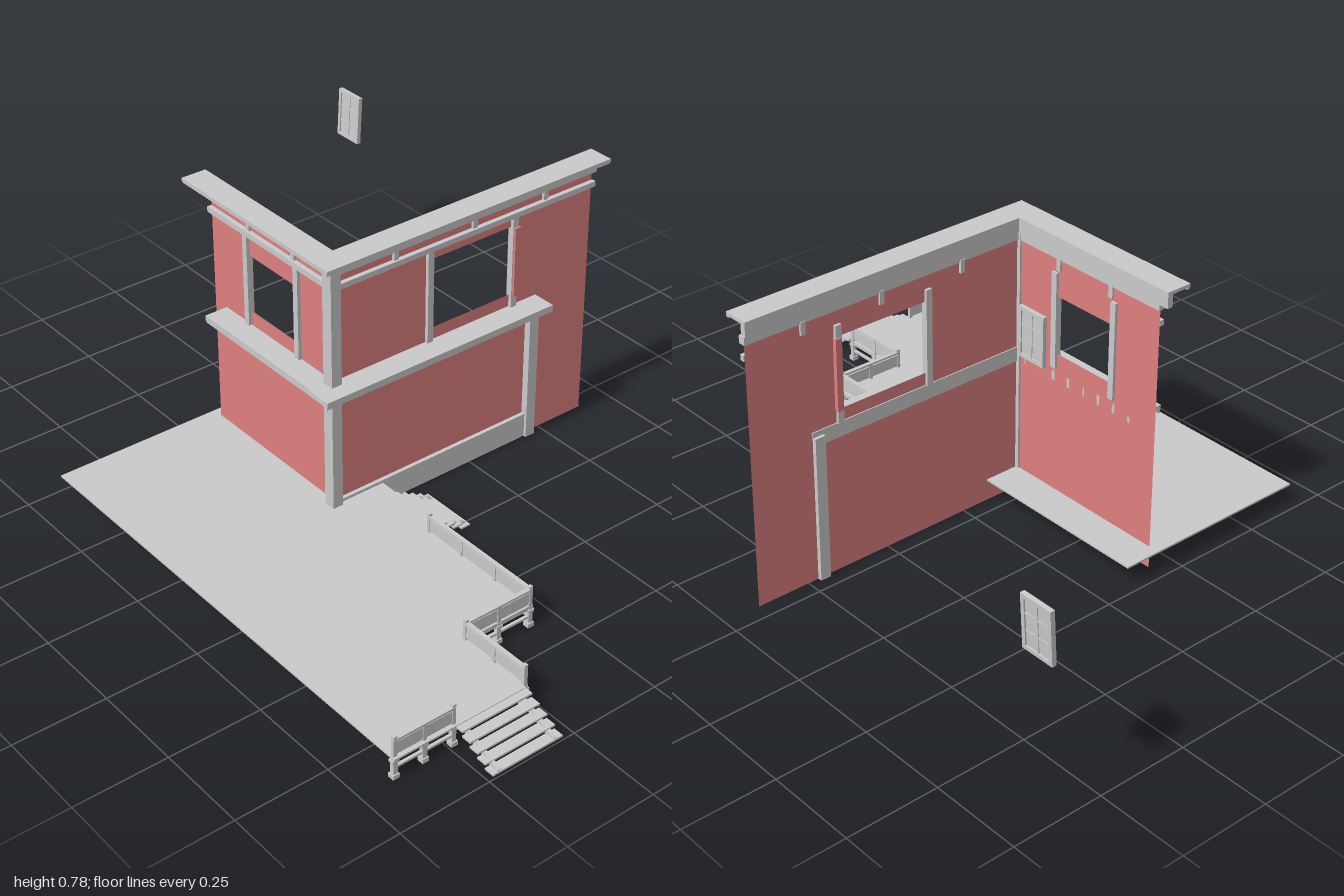
import * as THREE from 'three';

const grey = new THREE.MeshStandardMaterial({ color: 0xcccccc, side: THREE.DoubleSide });
const red = new THREE.MeshStandardMaterial({ color: 0xe08080, side: THREE.DoubleSide });

// Box given by its limits on each axis
function box(parent, name, x0, x1, y0, y1, z0, z1, mat = grey) {
  const m = new THREE.Mesh(new THREE.BoxGeometry(x1 - x0, y1 - y0, z1 - z0), mat);
  m.position.set((x0 + x1) / 2, (y0 + y1) / 2, (z0 + z1) / 2);
  m.name = name;
  parent.add(m);
  return m;
}

function group(parent, name) {
  const g = new THREE.Group();
  g.name = name;
  parent.add(g);
  return g;
}

// Flat wall in local x/y with a rectangular window opening
function wallPanel(parent, x0, x1, top, [a, b, c, d]) {
  const s = new THREE.Shape([[x0, 0], [x1, 0], [x1, top], [x0, top]].map(p => new THREE.Vector2(...p)));
  s.holes.push(new THREE.Path([[a, c], [a, d], [b, d], [b, c]].map(p => new THREE.Vector2(...p))));
  const m = new THREE.Mesh(new THREE.ShapeGeometry(s), red);
  m.name = 'wallPanel';
  parent.add(m);
}

// Overhanging board carried by a row of wedge brackets; local +z is outward
function cornice(parent, name, x0, x1, b0, b1, yTop, thick, drop, back) {
  const g = group(parent, name);
  box(g, 'topBoard', x0, x1, yTop - thick, yTop, back, 0.068);
  box(g, 'edgeLip', x0, x1, yTop - thick * 1.5, yTop - thick * 0.4, 0.058, 0.066);
  box(g, 'backBoard', b0, b1, yTop - thick - drop, yTop - thick, back, 0.012);
  const wedge = new THREE.Shape([[0, 0], [0.055, 0], [0.055, -0.006], [0.02, -drop], [0, -drop]]
    .map(p => new THREE.Vector2(...p)));
  const geo = new THREE.ExtrudeGeometry(wedge, { depth: 0.01, bevelEnabled: false });
  geo.rotateY(-Math.PI / 2);
  for (let x = b0 + 0.045; x <= b1; x += 0.0545) {
    const m = new THREE.Mesh(geo, grey);
    m.position.set(x, yTop - thick, 0);
    m.name = 'bracket';
    g.add(m);
  }
}

// Window posts, upper rails and the short studs between them
function wallTrim(g, x0, x1, posts, studs) {
  box(g, 'upperBeam', x0, x1, 0.724, 0.745, -0.004, 0.016);
  box(g, 'lowerBeam', x0, x1, 0.681, 0.696, 0.001, 0.014);
  for (const x of studs) box(g, 'stud', x - 0.007, x + 0.007, 0.694, 0.73, -0.006, 0.008);
  for (const x of posts) box(g, 'windowPost', x - 0.009, x + 0.009, 0.42, 0.686, -0.008, 0.01);
}

// Straight railing between two deck points with skirt, supports and feet
function railing(parent, xa, za, xb, zb) {
  const len = Math.hypot(xb - xa, zb - za);
  const g = group(parent, 'railing');
  g.position.set(xa, 0, za);
  g.rotation.y = -Math.atan2(zb - za, xb - xa);
  box(g, 'topRail', -0.004, len + 0.004, 0.105, 0.111, -0.006, 0.006);
  box(g, 'railPanel', 0, len, 0.066, 0.1, -0.003, 0.003);
  box(g, 'edgeBeam', 0, len, 0.05, 0.06, -0.005, 0.005);
  box(g, 'lowerBeam', 0, len, 0.026, 0.032, -0.004, 0.004);
  const n = Math.max(2, Math.round(len / 0.105));
  for (let i = 0; i <= n; i++) {
    const x = (len * i) / n;
    const end = i === 0 || i === n;
    box(g, 'railPost', x - 0.005, x + 0.005, 0.06, end ? 0.118 : 0.108, -0.005, 0.005);
    box(g, 'support', x - 0.006, x + 0.006, 0, 0.06, -0.006, 0.006);
    box(g, 'supportFoot', x - 0.009, x + 0.009, 0, 0.012, -0.009, 0.009);
    box(g, 'supportCap', x - 0.009, x + 0.009, 0.044, 0.052, -0.008, 0.008);
  }
}

// Stairs descending along local +z, centred on local x
function stairs(parent, name, width, run, x, z, turn) {
  const g = group(parent, name);
  g.position.set(x, 0, z);
  g.rotation.y = turn;
  const n = 5;
  for (let i = 0; i < n; i++) {
    const y = 0.06 - (i * 0.052) / (n - 1);
    const d = run / n;
    box(g, 'tread', -width / 2, width / 2, y - 0.005, y, i * d, i * d + d * 1.1);
  }
  for (const s of [-1, 1]) {
    const b = box(g, 'stringer', -0.005, 0.005, -0.006, 0.006, -run * 0.49, run * 0.49);
    b.position.set(s * width * 0.4, 0.028, run / 2);
    b.rotation.x = Math.atan2(0.05, run);
    box(g, 'stairFoot', s * width * 0.4 - 0.006, s * width * 0.4 + 0.006, 0, 0.01, run - 0.014, run);
  }
}

// Framed panel with raised bars, in local z/y, facing local x
function framedPanel(parent, x, y, z, tilt) {
  const g = group(parent, 'windowShutter');
  g.position.set(x, y, z);
  g.rotation.z = tilt;
  box(g, 'panel', -0.002, 0.002, -0.07, 0.07, -0.044, 0.044);
  for (const s of [-1, 1]) {
    box(g, 'stile', -0.006, 0.006, -0.07, 0.07, s * 0.041 - 0.005, s * 0.041 + 0.005);
    box(g, 'rail', -0.006, 0.006, s * 0.066 - 0.005, s * 0.066 + 0.005, -0.046, 0.046);
    box(g, 'bar', -0.004, 0.004, s * 0.022 - 0.003, s * 0.022 + 0.003, -0.04, 0.04);
  }
  box(g, 'centreBar', -0.004, 0.004, -0.065, 0.065, -0.003, 0.003);
}

export function createModel() {
  const root = new THREE.Group();
  root.name = 'houseCornerWithDeck';

  // Front wall
  const front = group(root, 'frontWall');
  front.position.z = 0.045;
  wallPanel(front, -0.18, 0.65, 0.745, [0.122, 0.382, 0.455, 0.652]);
  wallTrim(front, -0.18, 0.652, [0.113, 0.388], [0.005, 0.255, 0.488]);
  box(front, 'windowReveal', 0.382, 0.4, 0.455, 0.652, -0.012, 0.016, red);
  cornice(front, 'eave', -0.25, 0.648, -0.18, 0.648, 0.783, 0.009, 0.034, -0.004);
  cornice(front, 'ledge', -0.255, 0.472, -0.18, 0.44, 0.421, 0.014, 0.027, -0.003);
  box(front, 'baseBoard', -0.18, 0.44, 0, 0.07, 0.001, 0.012);
  box(front, 'endPost', 0.44, 0.47, 0, 0.407, -0.012, 0.02);

  // Side wall, turned to face -x (its local x is world z)
  const side = group(root, 'sideWall');
  side.position.x = -0.182;
  side.rotation.y = -Math.PI / 2;
  wallPanel(side, -0.45, 0.045, 0.745, [-0.292, -0.102, 0.46, 0.62]);
  wallTrim(side, -0.45, 0.045, [-0.3, -0.093], [-0.288, -0.105]);
  cornice(side, 'eave', -0.477, 0.112, -0.477, 0.045, 0.783, 0.009, 0.034, -0.004);
  cornice(side, 'ledge', -0.4, 0.112, -0.4, 0.045, 0.421, 0.014, 0.027, 0.001);

  box(root, 'cornerPost', -0.206, -0.176, 0, 0.745, 0.034, 0.068);

  // Deck floor: thin slab cut from a stepped outline (shape y = -z)
  const outline = [[-0.66, -0.48], [-0.08, -0.48], [-0.08, 0.05], [-0.04, 0.05], [-0.04, 0.275], [-0.07, 0.275],
    [-0.07, 0.66], [-0.28, 0.66], [-0.28, 0.87], [-0.66, 0.87]];
  const deckGeo = new THREE.ExtrudeGeometry(
    new THREE.Shape(outline.map(([x, z]) => new THREE.Vector2(x, -z))), { depth: 0.005, bevelEnabled: false });
  deckGeo.rotateX(-Math.PI / 2);
  const deck = new THREE.Mesh(deckGeo, grey);
  deck.position.y = 0.057;
  deck.name = 'deckFloor';
  root.add(deck);

  // Railings along the stepped edge
  railing(root, -0.652, 0.858, -0.486, 0.858);
  railing(root, -0.275, 0.858, -0.275, 0.655);
  railing(root, -0.275, 0.655, -0.078, 0.655);
  railing(root, -0.078, 0.655, -0.078, 0.288);

  // Stairs at the front and beside the wall
  stairs(root, 'frontStairs', 0.205, 0.13, -0.383, 0.863, 0);
  stairs(root, 'sideStairs', 0.165, 0.125, -0.06, 0.19, Math.PI / 2);

  // Loose shutters: one inside the corner, one set far back
  framedPanel(root, -0.155, 0.493, -0.038, 0);
  framedPanel(root, 0.648, 0.488, -0.953, -0.06);
  return root;
}
